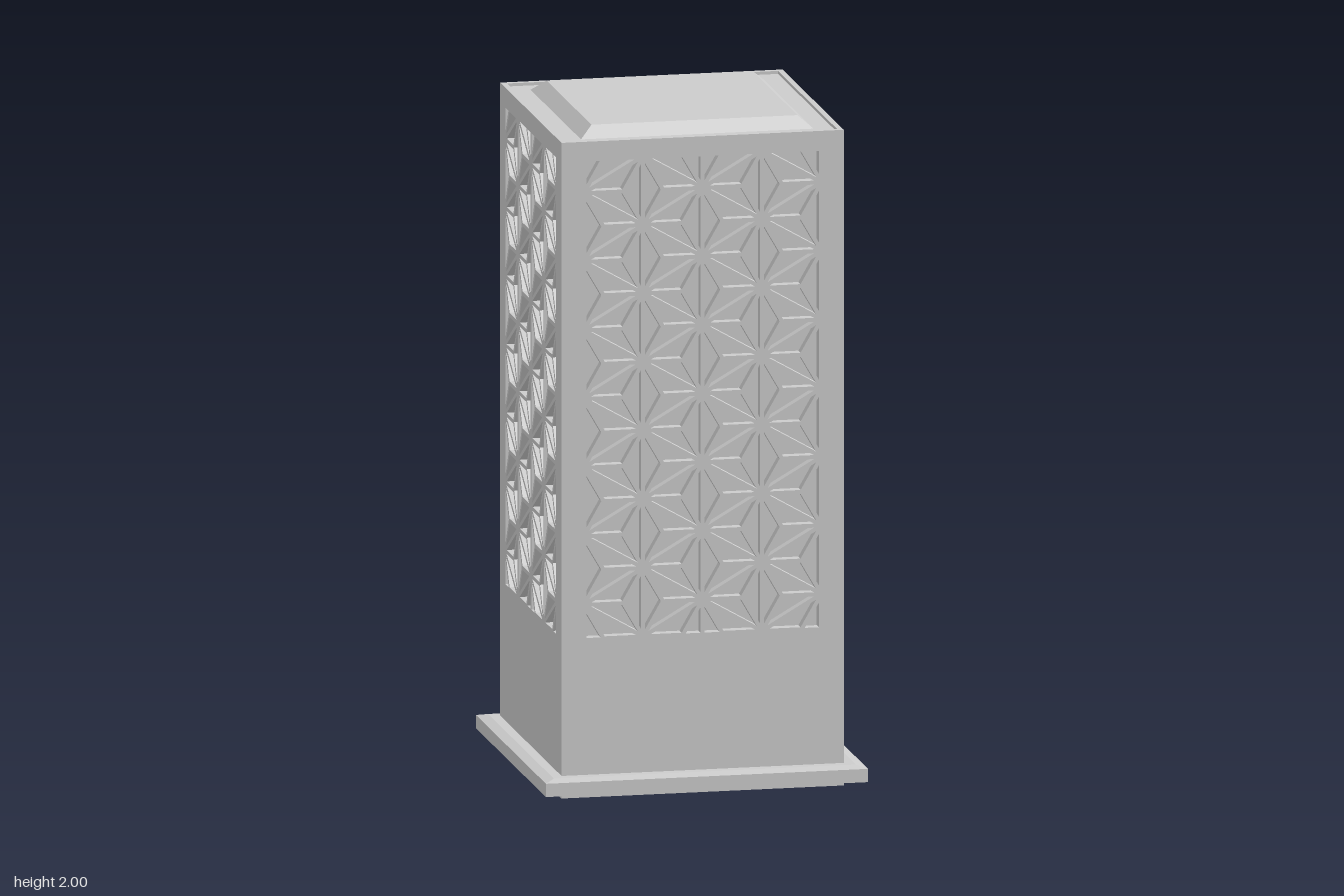
import * as THREE from 'three';

const HALF = 0.425, DEPTH = 0.03, Y0 = 0.03, Y1 = 1.95;
const FIELD = { x: 0.35, bottom: 0.48, top: 1.915 };
const STEP = 0.2067, COL = STEP * Math.sqrt(3) / 2, INSET = 0.006;
const V = (x, y) => new THREE.Vector2(x, y);

const material = new THREE.MeshStandardMaterial({ color: 0xcccccc });

function add(parent, name, geometry) {
  const mesh = new THREE.Mesh(geometry, material);
  mesh.name = name;
  parent.add(mesh);
  return mesh;
}

// Square slab or truncated pyramid between two heights
function frustum(bottom, top, y0, y1) {
  const g = new THREE.CylinderGeometry(top * Math.SQRT2, bottom * Math.SQRT2, y1 - y0, 4)
    .rotateY(Math.PI / 4).translate(0, (y0 + y1) / 2, 0).toNonIndexed();
  g.computeVertexNormals();
  return g;
}

function rectangle(Type, w, y0, y1) {
  return new Type([V(-w, y0), V(w, y0), V(w, y1), V(-w, y1)]);
}

// Thin square frame
function ring(outer, inner, y0, y1) {
  const shape = rectangle(THREE.Shape, outer, -outer, outer);
  shape.holes.push(rectangle(THREE.Path, inner, -inner, inner));
  return new THREE.ExtrudeGeometry(shape, { depth: y1 - y0, bevelEnabled: false })
    .rotateX(-Math.PI / 2).translate(0, y0, 0);
}

// Shrink a triangle towards its incentre so each side moves in by d
function shrink([a, b, c], d) {
  const la = b.distanceTo(c), lb = c.distanceTo(a), lc = a.distanceTo(b), p = la + lb + lc;
  const centre = V((a.x * la + b.x * lb + c.x * lc) / p, (a.y * la + b.y * lb + c.y * lc) / p);
  const area = Math.abs((b.x - a.x) * (c.y - a.y) - (b.y - a.y) * (c.x - a.x)) / 2;
  const k = 1 - d / (2 * area / p);
  return [a, b, c].map(q => centre.clone().lerp(q, k));
}

// Keep the part of a polygon where sign * q[axis] <= limit
function clip(points, axis, sign, limit) {
  const out = [];
  points.forEach((p, i) => {
    const q = points[(i + 1) % points.length];
    const dp = sign * p[axis] - limit, dq = sign * q[axis] - limit;
    if (dp <= 0) out.push(p);
    if (dp * dq < 0) out.push(p.clone().lerp(q, dp / (dp - dq)));
  });
  return out;
}

// Hemp-leaf cells: a triangular grid, every triangle split at its centroid
function latticeCells() {
  const cells = [];
  const node = (i, j) => V(i * COL, 0.58 + (j + (i % 2 ? 0.5 : 0)) * STEP);
  const split = tri => {
    const m = V(0, 0);
    tri.forEach(p => m.addScaledVector(p, 1 / 3));
    for (let k = 0; k < 3; k++) {
      let cell = shrink([tri[k], tri[(k + 1) % 3], m], INSET);
      cell = clip(cell, 'x', 1, FIELD.x);
      cell = clip(cell, 'x', -1, FIELD.x);
      cell = clip(cell, 'y', 1, FIELD.top);
      cell = clip(cell, 'y', -1, -FIELD.bottom);
      if (cell.length > 2 && Math.abs(THREE.ShapeUtils.area(cell)) > 2e-5) cells.push(cell);
    }
  };
  for (let i = -2; i < 2; i++) {
    for (let j = -2; j < 9; j++) {
      const shift = i % 2 ? 1 : 0;
      split([node(i, j), node(i, j + 1), node(i + 1, j + shift)]);
      split([node(i + 1, j), node(i + 1, j + 1), node(i, j + 1 - shift)]);
    }
  }
  return cells;
}

// One wall with the pattern cut through it
function wall(halfWidth, cells) {
  const shape = rectangle(THREE.Shape, halfWidth, Y0, Y1);
  cells.forEach(c => shape.holes.push(new THREE.Path(c)));
  return new THREE.ExtrudeGeometry(shape, { depth: DEPTH, bevelEnabled: false })
    .translate(0, 0, HALF - DEPTH);
}

export function createModel() {
  const model = new THREE.Group();
  model.name = 'lantern';

  // Four lattice walls around a closed core
  const cells = latticeCells();
  const wide = wall(HALF, cells), narrow = wall(HALF - DEPTH, cells);
  ['frontWall', 'leftWall', 'backWall', 'rightWall'].forEach((name, i) => {
    add(model, name, i % 2 ? narrow : wide).rotation.y = i * Math.PI / 2;
  });
  add(model, 'innerLiner', frustum(HALF - DEPTH, HALF - DEPTH, Y0, Y1));

  // Thin rims at both ends
  add(model, 'topRim', ring(HALF, 0.408, Y1, 1.975));
  add(model, 'bottomRim', ring(HALF, 0.408, 0, Y0));
  add(model, 'floor', frustum(0.408, 0.408, 0.015, Y0));

  // Recessed lid with a raised, sloped centre
  add(model, 'lidPlate', frustum(0.408, 0.408, Y1, 1.966));
  add(model, 'lidCentre', frustum(0.35, 0.31, 1.966, 2));

  // Base flange with a slightly sloped top
  const flange = new THREE.Group();
  flange.name = 'baseFlange';
  add(flange, 'flangeBody', ring(0.485, HALF, 0.02, 0.06));
  add(flange, 'flangeTop', frustum(0.485, 0.455, 0.06, 0.068));
  model.add(flange);

  return model;
}
